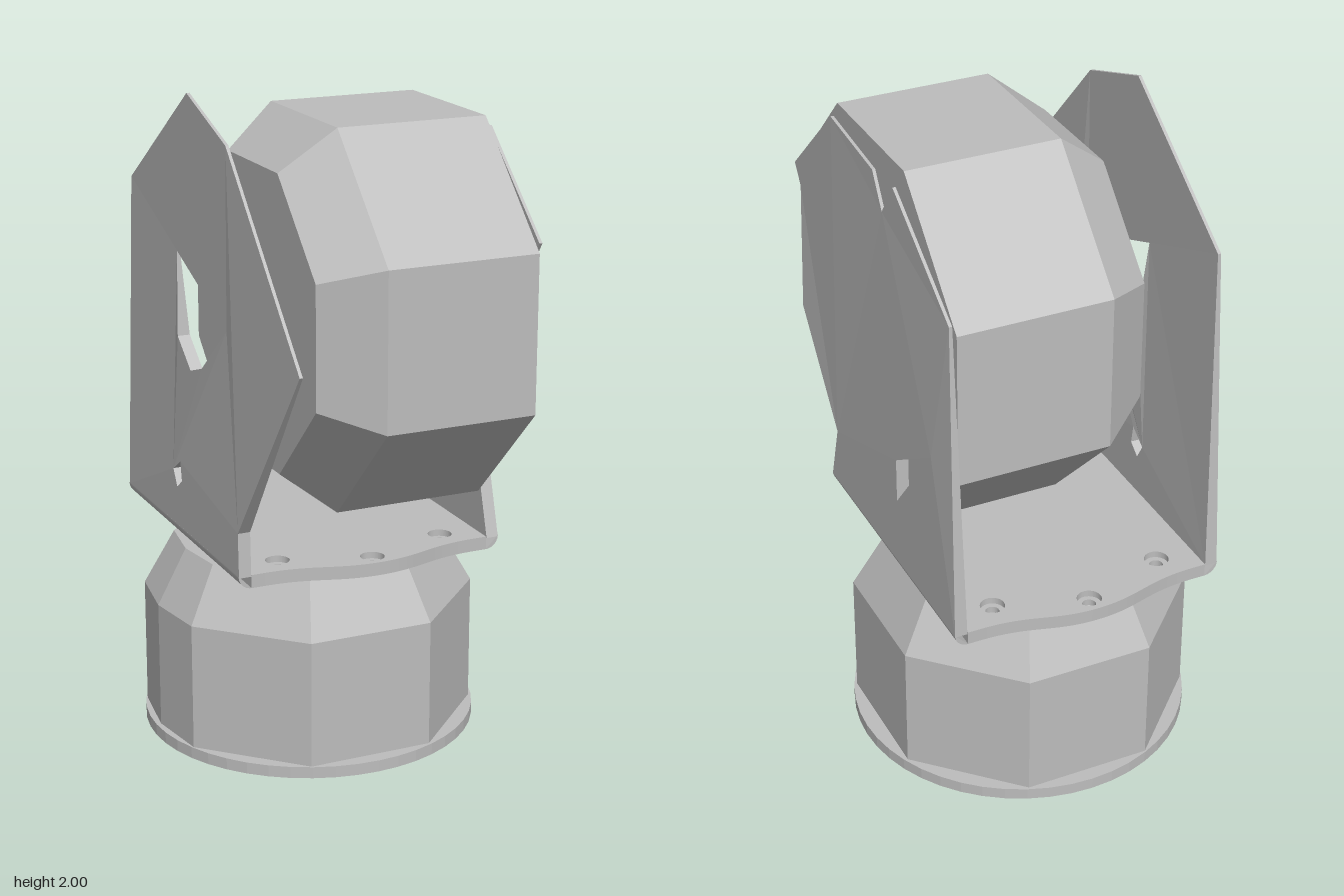
import * as THREE from 'three';

const CZ = -0.17; // turning axis of the pedestal

// Closed solid through a list of rings (counter-clockwise around the axis)
function loft(rings) {
  const pos = [];
  const tri = (...p) => p.forEach((v) => pos.push(v.x, v.y, v.z));
  const n = rings[0].length;
  for (let r = 0; r + 1 < rings.length; r++) {
    const a = rings[r], b = rings[r + 1];
    for (let i = 0; i < n; i++) {
      const j = (i + 1) % n;
      tri(a[i], a[j], b[j]);
      tri(a[i], b[j], b[i]);
    }
  }
  const first = rings[0], last = rings[rings.length - 1];
  for (let i = 1; i + 1 < n; i++) {
    tri(first[0], first[i + 1], first[i]);
    tri(last[0], last[i], last[i + 1]);
  }
  const g = new THREE.BufferGeometry();
  g.setAttribute('position', new THREE.Float32BufferAttribute(pos, 3));
  g.computeVertexNormals();
  return g;
}

const polygon = (pts, Type = THREE.Shape) => new Type(pts.map(([x, y]) => new THREE.Vector2(x, y)));
const circle = (x, y, r) => new THREE.Path().absarc(x, y, r, 0, Math.PI * 2, true);

// Horizontal slab from a shape in x and z, with its top at the given height
function slab(shape, top, depth) {
  return new THREE.ExtrudeGeometry(shape, { depth, bevelEnabled: false, curveSegments: 24 })
    .rotateX(Math.PI / 2).translate(0, top, 0);
}

// Upright plate from an outline in z and y, thinner where isThin says so
function wall(outline, holes, x, isThin) {
  const shape = polygon(outline);
  shape.holes = holes.map((h) => polygon(h, THREE.Path));
  const g = new THREE.ExtrudeGeometry(shape, { depth: 0.038, bevelEnabled: false })
    .translate(0, 0, -0.019).rotateY(-Math.PI / 2);
  const p = g.attributes.position;
  for (let i = 0; i < p.count; i++) {
    p.setX(i, x + p.getX(i) * (isThin(p.getZ(i), p.getY(i)) ? 0.25 : 1));
  }
  g.computeVertexNormals();
  return g;
}

export function createModel() {
  const model = new THREE.Group();
  const grey = new THREE.MeshStandardMaterial({ color: 0xbdbdbd });
  grey.name = 'light grey metal';
  const add = (name, geometry, parent = model) => {
    const mesh = new THREE.Mesh(geometry, grey);
    mesh.name = name;
    parent.add(mesh);
    return mesh;
  };

  // Base flange: ring with two inner tabs and eight countersunk holes
  const flange = new THREE.Group();
  flange.name = 'baseFlange';
  model.add(flange);
  const opening = [];
  for (let i = 0; i < 90; i++) {
    const deg = i * 4;
    const tab = Math.abs(deg - 14) < 5 || Math.abs(deg - 156) < 5;
    const a = THREE.MathUtils.degToRad(deg), r = tab ? 0.325 : 0.36;
    opening.push([r * Math.cos(a), CZ + r * Math.sin(a)]);
  }
  for (const [name, top, holeRadius] of [['flangeLower', 0.017, 0.034], ['flangeUpper', 0.036, 0.02]]) {
    const ring = new THREE.Shape().absarc(0, CZ, 0.515, 0, Math.PI * 2, false);
    ring.holes.push(polygon(opening, THREE.Path));
    for (let i = 0; i < 8; i++) {
      const a = (i + 0.5) * Math.PI / 4;
      ring.holes.push(circle(0.445 * Math.cos(a), CZ + 0.445 * Math.sin(a), holeRadius));
    }
    add(name, slab(ring, top, top === 0.017 ? 0.017 : 0.019), flange);
  }

  // Pedestal: faceted body with a sloped shoulder
  const plan = [[0.465, -0.37], [0.19, -0.64], [-0.2, -0.64], [-0.47, -0.37], [-0.5, CZ],
    [-0.47, 0.03], [-0.2, 0.3], [0.19, 0.3], [0.465, 0.03]];
  const planRing = (y, s) => plan.map(([x, z]) =>
    new THREE.Vector3(-0.015 + (x + 0.015) * s, y, CZ + (z - CZ) * s));
  add('pedestal', loft([planRing(0.036, 1), planRing(0.43, 1), planRing(0.6, 0.81)]));

  // Bracket floor: bulged front and back edges, six countersunk holes
  const bracket = new THREE.Group();
  bracket.name = 'bracket';
  model.add(bracket);
  for (const [name, top, holeRadius] of [['floorLower', 0.65, 0.02], ['floorUpper', 0.67, 0.036]]) {
    const s = new THREE.Shape();
    s.moveTo(-0.38, -0.63).lineTo(-0.34, -0.63);
    s.bezierCurveTo(-0.18, -0.63, -0.14, -0.685, 0, -0.685);
    s.bezierCurveTo(0.14, -0.685, 0.18, -0.63, 0.34, -0.63);
    s.lineTo(0.38, -0.63).lineTo(0.38, 0.285).lineTo(0.34, 0.285);
    s.bezierCurveTo(0.18, 0.285, 0.14, 0.345, 0, 0.345);
    s.bezierCurveTo(-0.14, 0.345, -0.18, 0.285, -0.34, 0.285);
    s.lineTo(-0.38, 0.285);
    for (const side of [-1, 1]) {
      s.holes.push(circle(0, CZ + side * 0.462, holeRadius));
      for (const x of [-0.265, 0.265]) s.holes.push(circle(x, CZ + side * 0.375, holeRadius));
    }
    add(name, slab(s, top, 0.02), bracket);
  }

  // Rounded bends joining the floor to the walls
  for (const side of [-1, 1]) {
    const bend = new THREE.Shape();
    const start = side > 0 ? -Math.PI / 2 : Math.PI;
    bend.moveTo(side * 0.38, 0.67);
    bend.absarc(side * 0.38, 0.67, 0.04, start, start + Math.PI / 2, false);
    add(side > 0 ? 'leftBend' : 'rightBend',
      new THREE.ExtrudeGeometry(bend, { depth: 0.915, bevelEnabled: false }).translate(0, 0, -0.63), bracket);
  }

  // Free-standing wall with pointed corners and a three-cornered opening
  add('rightWall', wall(
    [[-0.63, 0.665], [0.285, 0.665], [0.28, 0.8], [0.69, 1.37], [0.19, 1.9], [-0.1, 2], [-0.58, 1.67]],
    [[[-0.2, 1.52], [-0.17, 1.27], [-0.07, 1.19], [0.02, 1.22], [0.18, 1.37]],
      [[-0.23, 0.84], [-0.2, 0.79], [-0.16, 0.82], [-0.17, 0.88]]],
    -0.4, (z, y) => y > 1.3 || z > 0.4), bracket);

  // Wall carrying the drum, with a notched top and a slit
  add('leftWall', wall(
    [[-0.63, 0.665], [0.285, 0.665], [0.23, 0.85], [0.48, 1.16], [0.49, 1.56], [0.53, 1.62],
      [0.22, 1.9], [-0.08, 1.87], [-0.14, 1.77], [-0.22, 1.88], [-0.58, 1.64]],
    [[[-0.48, 1.18], [-0.23, 0.88], [-0.23, 1.02]]],
    0.401, (z, y) => y > 1.4), bracket);

  // Drum: octagonal housing tapering towards the open side
  const drumRing = (x, r) => Array.from({ length: 8 }, (_, i) => {
    const a = (i + 0.5) * Math.PI / 4;
    return new THREE.Vector3(x, 1.365 + r * Math.cos(a), -0.005 + r * Math.sin(a));
  });
  const R = 0.567 / Math.cos(Math.PI / 8);
  add('drum', loft([drumRing(-0.245, R * 0.78), drumRing(-0.085, R), drumRing(0.38, R)]));

  return model;
}
